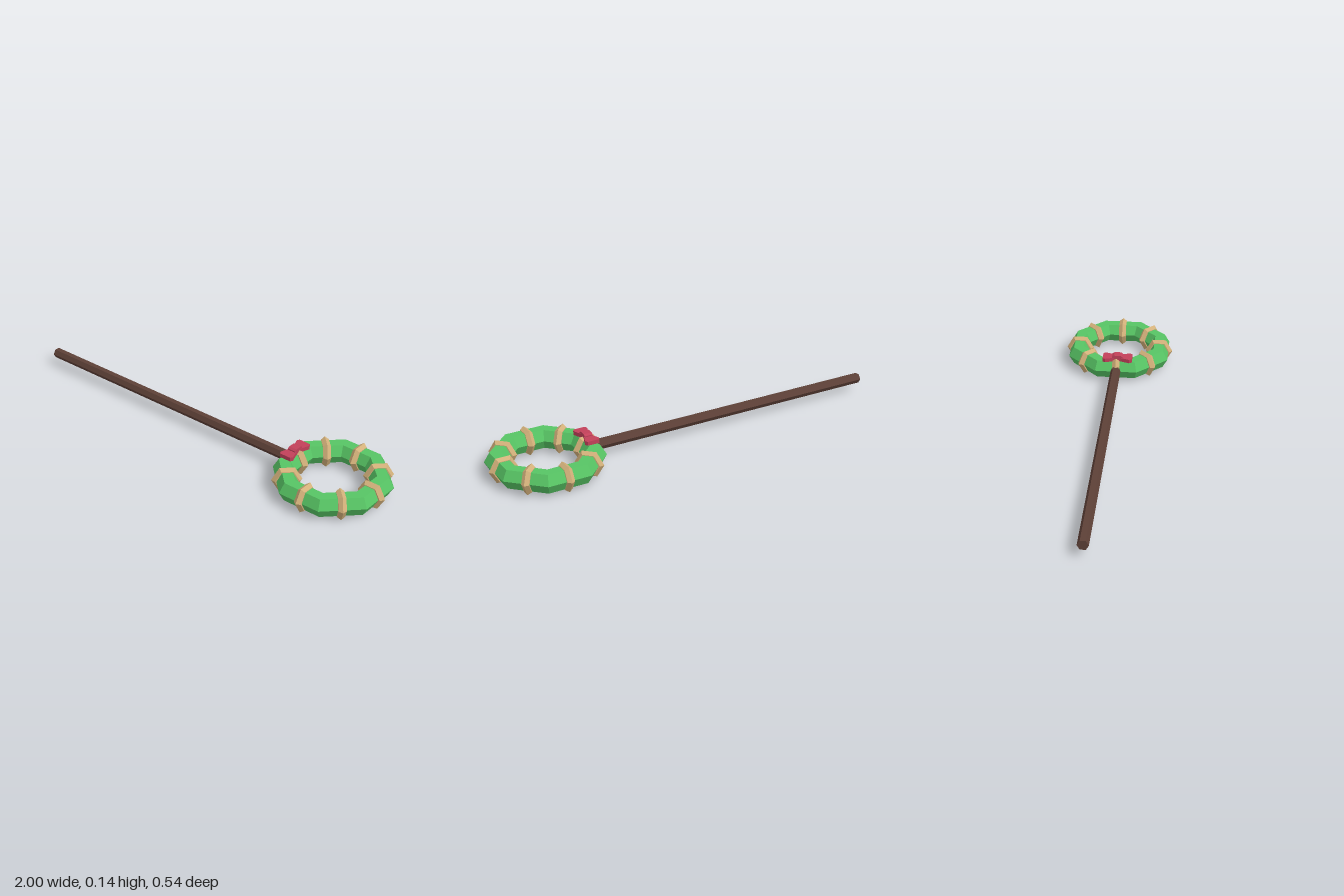
import * as THREE from 'three';

const mat = (color) => new THREE.MeshStandardMaterial({ color, flatShading: true });
const RING_X = 0.727, RING_Y = 0.06, SIDES = 8, APOTHEM = 0.203;

function add(parent, name, geometry, material) {
  const mesh = new THREE.Mesh(geometry, material);
  mesh.name = name;
  parent.add(mesh);
  return mesh;
}

// Extruded polygon from a short list of corners
function prism(points, depth) {
  const shape = new THREE.Shape(points.map(([x, y]) => new THREE.Vector2(x, y)));
  return new THREE.ExtrudeGeometry(shape, { depth, bevelEnabled: false });
}

export function createModel() {
  const root = new THREE.Group();
  const wood = mat(0x5d4037), green = mat(0x57c464), tan = mat(0xd2b07a), red = mat(0xc2405a);

  // Six-sided stick along x, corners pointing to the front and back
  const stick = new THREE.CylinderGeometry(0.025, 0.025, 1.49, 6);
  stick.rotateZ(Math.PI / 2);
  add(root, 'handle', stick, wood).position.set(-0.255, 0.0625, 0);

  // Eight-sided hoop with a hexagonal section, lying flat
  const hoop = new THREE.TorusGeometry(APOTHEM / Math.cos(Math.PI / SIDES), 0.052, 6, SIDES);
  hoop.rotateZ(Math.PI / SIDES);
  hoop.rotateX(-Math.PI / 2);
  add(root, 'hoop', hoop, green).position.set(RING_X, RING_Y, 0);

  // Ridged hexagonal bands round the middle of each hoop side
  const bands = new THREE.Group();
  bands.name = 'bands';
  bands.position.set(RING_X, RING_Y, 0);
  root.add(bands);
  const profile = [[0.045, -0.018], [0.055, -0.018], [0.069, 0], [0.055, 0.018], [0.045, 0.018]]
    .map(([r, y]) => new THREE.Vector2(r, y));
  const bandGeo = new THREE.LatheGeometry(profile, 6);
  bandGeo.rotateY(Math.PI / 2); // a corner faces outwards
  bandGeo.rotateX(Math.PI / 2); // the axis follows the hoop
  for (let i = 0; i < SIDES; i++) {
    const a = (i / SIDES) * Math.PI * 2;
    const band = add(bands, 'band', bandGeo, tan);
    band.position.set(Math.cos(a) * APOTHEM, 0, -Math.sin(a) * APOTHEM);
    band.rotation.y = a;
  }

  // Bow where the stick meets the hoop
  const bow = new THREE.Group();
  bow.name = 'bow';
  bow.position.set(0.522, 0.105, 0.006);
  root.add(bow);
  const wing = prism([[-0.014, 0], [0.014, 0], [0.035, 0.06], [0.028, 0.073], [-0.028, 0.073], [-0.035, 0.06]], 0.019);
  wing.rotateX(-Math.PI / 2);
  for (const turn of [0, Math.PI]) add(bow, 'bowWing', wing, red).rotation.y = turn;
  const knot = prism([[-0.026, 0], [0.026, 0], [0.026, 0.024], [0.016, 0.031], [-0.016, 0.031], [-0.026, 0.024]], 0.04);
  knot.translate(0, 0, -0.02);
  knot.rotateY(Math.PI / 2);
  add(bow, 'bowKnot', knot, red);

  return root;
}
